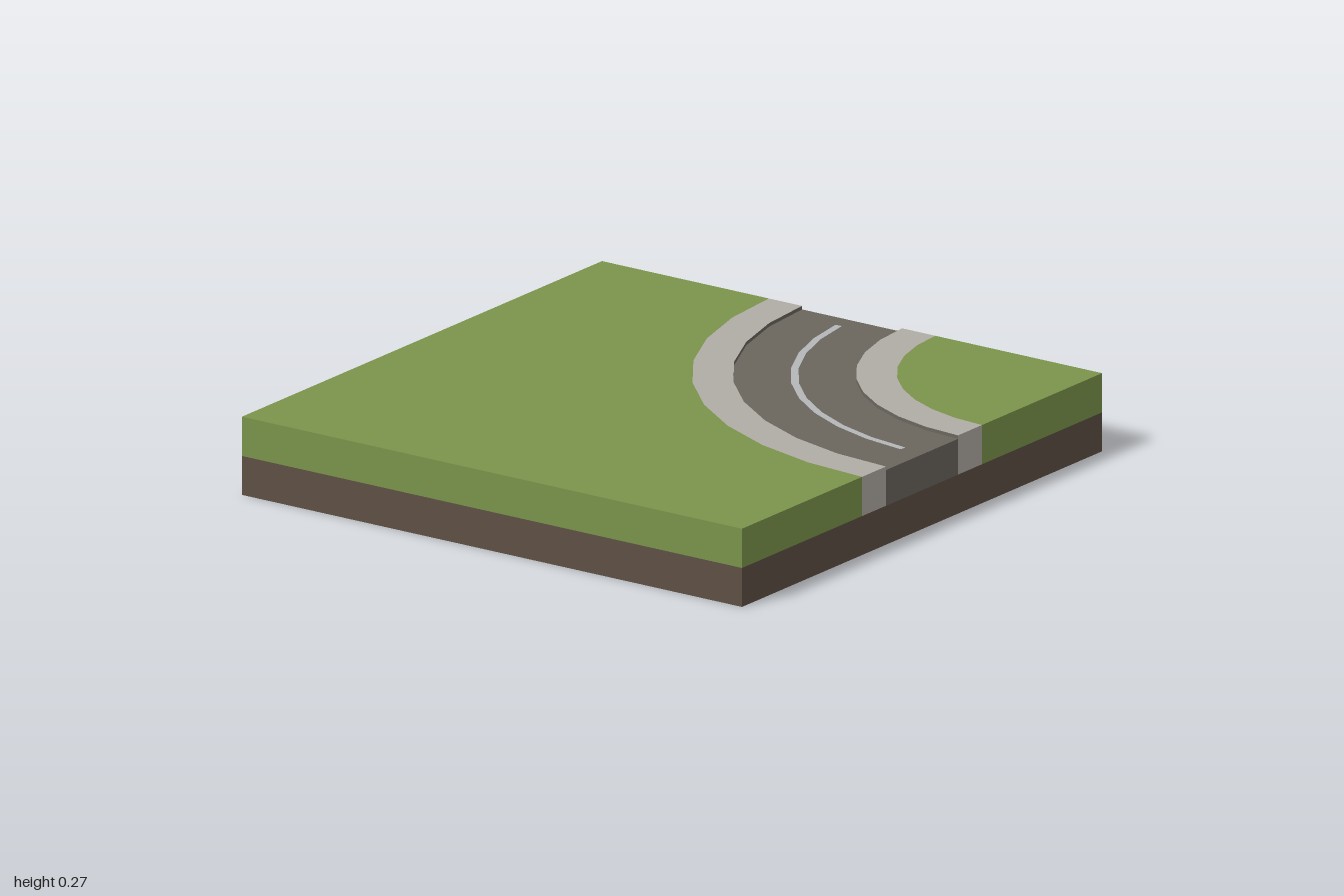
import * as THREE from 'three';

const H = 0.267, MID = 0.133, ROAD = 0.255; // ground top, soil top, road top
const R = [1.333, 1.2, 0.8, 0.667];          // kerb and road radii about the corner (1, 1)
const SEG = 9;

const mat = (color) => new THREE.MeshStandardMaterial({ color, flatShading: true, side: THREE.DoubleSide });

export function createModel() {
  const group = new THREE.Group();
  const grass = mat(0x7a944b), soil = mat(0x5f4f45), kerb = mat(0xb0aba5);
  const road = mat(0x6a665e), paint = mat(0xb4b6b8);

  const add = (name, geometry, material) => {
    const mesh = new THREE.Mesh(geometry, material);
    mesh.name = name;
    group.add(mesh);
    return mesh;
  };

  // Quarter-turn strip swept about the front left corner
  const bend = (name, profile, material, startDeg = 180, sweepDeg = 90) => {
    const points = profile.map(([r, y]) => new THREE.Vector2(r, y));
    const rad = THREE.MathUtils.degToRad;
    const g = new THREE.LatheGeometry(points, SEG, rad(startDeg), rad(sweepDeg));
    add(name, g.translate(1, 0, 1), material);
  };

  // Upright panel on one of the four sides, from a to b along that side
  const panel = (name, material, turn, a, b, y0, y1) => {
    const g = new THREE.PlaneGeometry(b - a, y1 - y0);
    g.translate((a + b) / 2, (y0 + y1) / 2, 1).rotateY(turn * Math.PI / 2);
    add(name, g, material);
  };

  // Large lawn outside the bend
  const pts = [new THREE.Vector2(-1, -1)];
  for (let i = 0; i <= SEG; i++) {
    const a = (i / SEG) * Math.PI / 2;
    pts.push(new THREE.Vector2(1 - R[0] * Math.cos(a), -1 + R[0] * Math.sin(a)));
  }
  pts.push(new THREE.Vector2(1, 1), new THREE.Vector2(-1, 1));
  const lawn = new THREE.ShapeGeometry(new THREE.Shape(pts));
  add('outerLawn', lawn.rotateX(-Math.PI / 2).translate(0, H, 0), grass);

  // Kerbs, sunken road, small lawn and centre line
  bend('outerKerb', [[R[0], H], [R[1], H]], kerb);
  bend('road', [[R[1], H], [R[1], ROAD], [R[2], ROAD], [R[2], H]], road);
  bend('innerKerb', [[R[2], H], [R[3], H]], kerb);
  bend('innerLawn', [[R[3], H], [0, H]], grass);
  bend('centreLine', [[1.0125, 0.26], [0.9875, 0.26]], paint, 184.5, 81);

  // Soil band all round
  for (let turn = 0; turn < 4; turn++) panel('soilSide', soil, turn, -1, 1, 0, MID);

  // Plain grass sides at the back and right
  for (const turn of [2, 3]) panel('grassSide', grass, turn, -1, 1, MID, H);

  // Two sides where the road runs out
  const cuts = [-1, -0.333, -0.2, 0.2, 0.333, 1];
  const bands = [
    ['grassSide', grass, H], ['kerbEnd', kerb, H], ['roadEnd', road, ROAD],
    ['kerbEnd', kerb, H], ['grassSide', grass, H],
  ];
  bands.forEach(([name, material, top], i) => {
    panel(name, material, 0, cuts[i], cuts[i + 1], MID, top);
    panel(name, material, 1, -cuts[i + 1], -cuts[i], MID, top);
  });

  return group;
}
